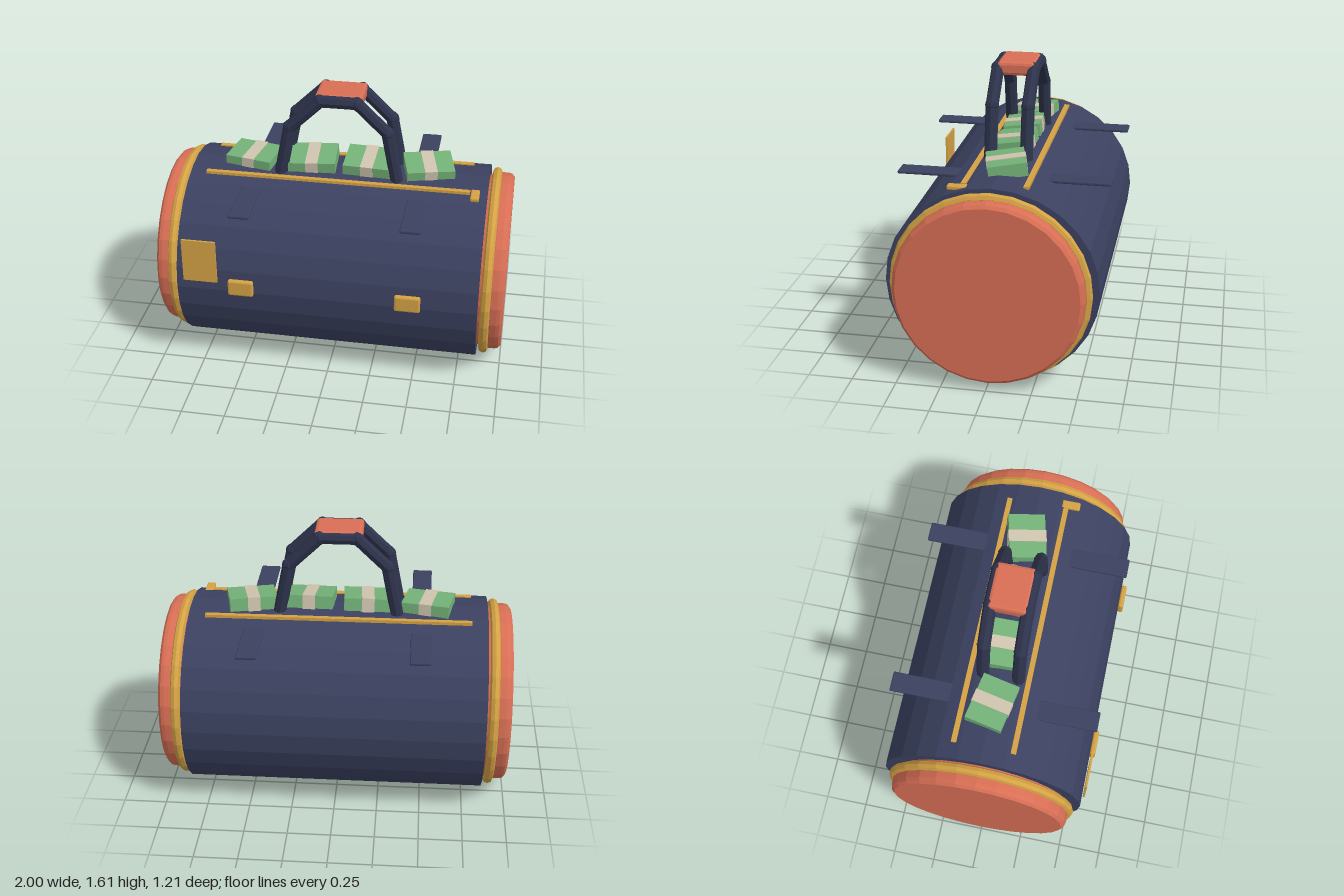
import * as THREE from 'three';
import { RoundedBoxGeometry } from 'three/addons/geometries/RoundedBoxGeometry.js';

const CY = 0.56, CZ = -0.01; // axis of the barrel

function material(name, color) {
  const m = new THREE.MeshStandardMaterial({ color, flatShading: true });
  m.name = name;
  return m;
}

export function createModel() {
  const navy = material('navy canvas', 0x3b4160);
  const darkNavy = material('dark navy webbing', 0x2d334c);
  const coral = material('coral', 0xd96f55);
  const gold = material('gold', 0xd4a244);
  const green = material('banknote green', 0x74b278);
  const cream = material('cream paper', 0xcfc4ae);

  const model = new THREE.Group();
  model.name = 'duffelBag';

  function add(name, geometry, mat, x = 0, y = 0, z = 0, parent = model) {
    const mesh = new THREE.Mesh(geometry, mat);
    mesh.name = name;
    mesh.position.set(x, y, z);
    parent.add(mesh);
    return mesh;
  }
  const box = (w, h, d) => new THREE.BoxGeometry(w, h, d);
  const soft = (w, h, d, r) => new RoundedBoxGeometry(w, h, d, 1, r);

  // Barrel body, slightly wider than tall
  const body = new THREE.CylinderGeometry(0.585, 0.585, 1.716, 28);
  body.rotateZ(-Math.PI / 2).scale(1, 0.56 / 0.585, 1);
  add('body', body, navy, 0, CY, CZ);

  // End caps with rounded rims, and gold piping
  const capProfile = [[0, 0.84], [0.5, 0.84], [0.523, 0.93], [0.523, 0.965], [0.518, 0.985], [0.5, 1], [0, 1]]
    .map(([r, x]) => new THREE.Vector2(r, x));
  for (const side of [1, -1]) {
    const label = side > 0 ? 'left' : 'right';
    const cap = new THREE.LatheGeometry(capProfile, 28);
    cap.rotateZ(-side * Math.PI / 2);
    add(label + 'EndCap', cap, coral, 0, CY + 0.002, CZ);
    const ring = new THREE.TorusGeometry(0.525, 0.028, 8, 28);
    ring.rotateY(Math.PI / 2);
    add(label + 'Piping', ring, gold, side * 0.899, CY, CZ);
  }

  // Zipper rails and pull tab
  for (const z of [0.157, -0.18]) add('zipperRail', box(1.525, 0.018, 0.03), gold, -0.002, 1.096, z);
  add('zipperPull', soft(0.05, 0.026, 0.108, 0.008), gold, 0.79, 1.092, 0.184);

  // Flat straps through the body, with buckles on the front
  for (const x of [-0.478, 0.472]) {
    add('strap', soft(0.115, 0.018, 1.19, 0.006), navy, x, 1.056, CZ);
    add('buckle', soft(0.146, 0.097, 0.032, 0.01), gold, x - 0.002, 0.598, 0.589);
  }
  add('namePlate', box(0.196, 0.265, 0.012), gold, -0.714, 0.752, 0.585);

  // Carrying handles: straight octagonal rods with rounded joints
  const path = [[-0.345, 1.06], [-0.28, 1.395], [-0.105, 1.565], [0.105, 1.565], [0.28, 1.395], [0.345, 1.06]]
    .map(([x, y]) => new THREE.Vector3(x, y, 0));
  const up = new THREE.Vector3(0, 1, 0);
  for (const z of [0.097, -0.107]) {
    const handle = new THREE.Group();
    handle.name = z > 0 ? 'frontHandle' : 'backHandle';
    handle.position.z = z;
    model.add(handle);
    for (let i = 0; i < path.length - 1; i++) {
      const dir = path[i + 1].clone().sub(path[i]);
      const mid = path[i].clone().add(path[i + 1]).multiplyScalar(0.5);
      const rod = add('handleRod', new THREE.CylinderGeometry(0.037, 0.037, dir.length(), 8),
        darkNavy, mid.x, mid.y, 0, handle);
      rod.quaternion.setFromUnitVectors(up, dir.normalize());
      if (i > 0) add('handleJoint', new THREE.SphereGeometry(0.04, 8, 6), darkNavy, path[i].x, path[i].y, 0, handle);
    }
  }
  add('handleGrip', soft(0.27, 0.078, 0.22, 0.018), coral, 0, 1.566, CZ);

  // Banknote bundles: x, y, z, then tilt, turn and roll
  const bundles = [
    [-0.515, 1.13, -0.015, 0.04, -0.19, 0],
    [-0.165, 1.145, -0.01, 0.12, 0.06, 0.03],
    [0.165, 1.15, -0.01, 0.16, -0.05, 0],
    [0.507, 1.138, -0.028, 0.12, 0.235, -0.02],
  ];
  for (const [x, y, z, rx, ry, rz] of bundles) {
    const bundle = new THREE.Group();
    bundle.name = 'banknoteBundle';
    bundle.position.set(x, y, z);
    bundle.rotation.set(rx, ry, rz);
    model.add(bundle);
    add('notes', box(0.275, 0.075, 0.215), green, 0, 0, 0, bundle);
    add('paperBand', box(0.072, 0.083, 0.222), cream, 0, 0, 0, bundle);
  }

  return model;
}
